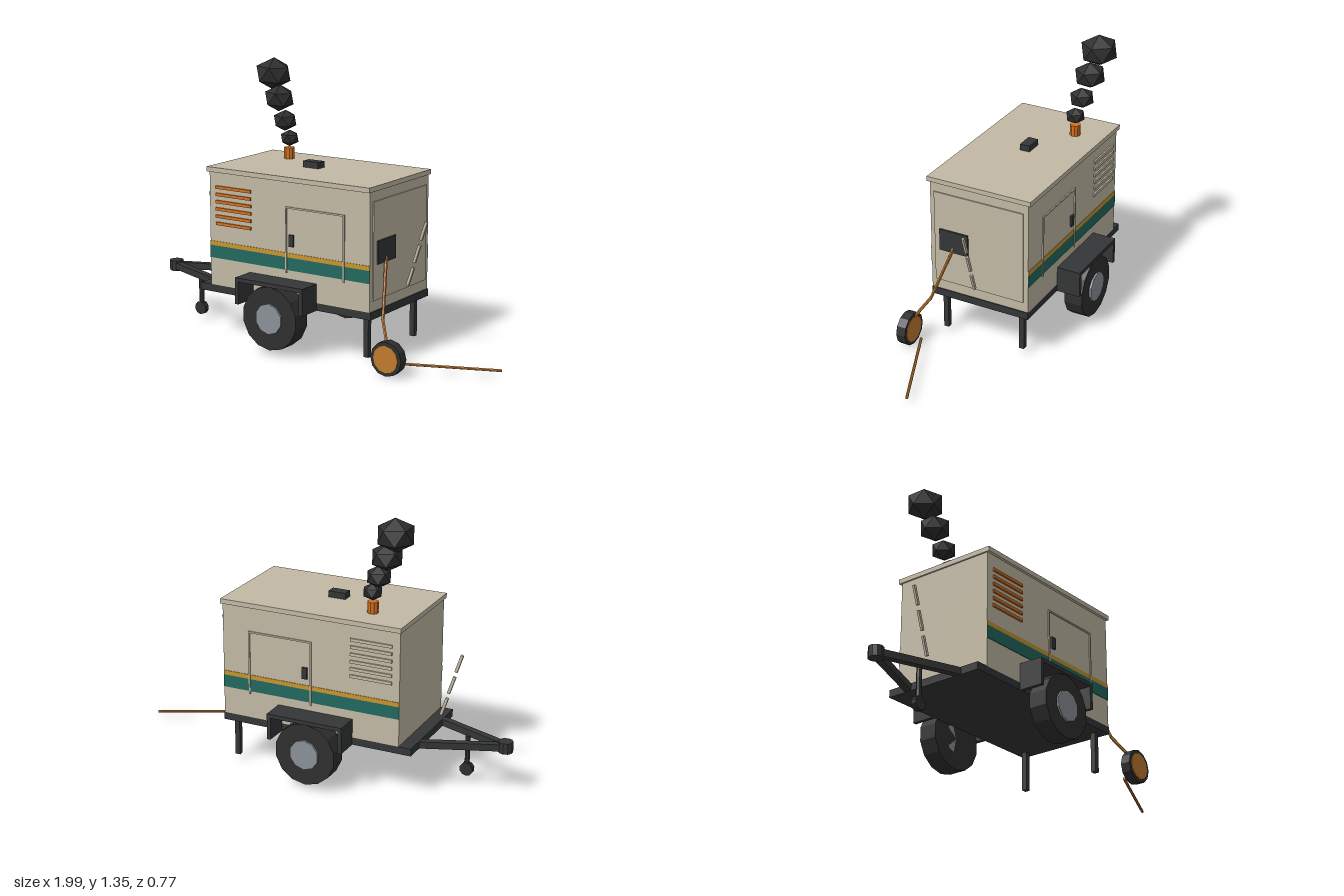
import * as THREE from 'three';

const material = (name, color) => {
  const m = new THREE.MeshStandardMaterial({ color });
  m.name = name;
  return m;
};

export function createModel() {
  const group = new THREE.Group();
  const paint = material('cream paint', 0xc2b9a5);
  const teal = material('teal stripe', 0x22695f);
  const gold = material('gold stripe', 0xc8952f);
  const orange = material('orange', 0xd2701f);
  const copper = material('copper orange', 0xc07a2c);
  const dark = material('dark metal', 0x343536);
  const rubber = material('rubber', 0x2f2f30);
  const hubGrey = material('hub grey', 0x8b9098);
  const smoke = material('smoke', 0x2e2e30);

  const add = (name, geo, mat, x = 0, y = 0, z = 0) => {
    const mesh = new THREE.Mesh(geo, mat);
    mesh.name = name;
    mesh.position.set(x, y, z);
    group.add(mesh);
    return mesh;
  };
  // Box given by its minimum and maximum corners
  const box = (name, mat, x0, x1, y0, y1, z0, z1) =>
    add(name, new THREE.BoxGeometry(x1 - x0, y1 - y0, z1 - z0), mat,
      (x0 + x1) / 2, (y0 + y1) / 2, (z0 + z1) / 2);
  // Faceted cylinder
  const drum = (r, h, sides) => {
    const g = new THREE.CylinderGeometry(r, r, h, sides).toNonIndexed();
    g.computeVertexNormals();
    return g;
  };
  // Faceted cylinder lying along z
  const disc = (name, mat, r, width, sides, x, y, z) =>
    add(name, drum(r, width, sides).rotateX(Math.PI / 2), mat, x, y, z);
  // Round rod between two points
  const rod = (name, mat, r, a, b, sides = 6) => {
    const from = new THREE.Vector3(...a), to = new THREE.Vector3(...b);
    const mesh = add(name, drum(r, from.distanceTo(to), sides), mat);
    mesh.position.copy(from).add(to).multiplyScalar(0.5);
    mesh.quaternion.setFromUnitVectors(new THREE.Vector3(0, 1, 0), to.sub(from).normalize());
    return mesh;
  };

  // Cabinet, roof and chassis
  box('chassis', dark, -0.59, 0.41, 0.228, 0.265, -0.263, 0.263);
  box('cabinet', paint, -0.527, 0.405, 0.265, 0.837, -0.263, 0.263);
  box('roof', paint, -0.535, 0.411, 0.837, 0.861, -0.277, 0.277);
  box('roofCap', dark, -0.135, -0.045, 0.861, 0.892, -0.026, 0.026);

  // End panel and control box
  box('endPanel', paint, 0.405, 0.411, 0.316, 0.79, -0.238, 0.24);
  box('controlPanel', dark, 0.411, 0.419, 0.488, 0.6, 0.055, 0.21);

  // Painted stripes, doors, vents, fenders and wheels on both sides
  for (const s of [1, -1]) {
    const side = (name, mat, x0, x1, y0, y1, inner, outer) =>
      box(name, mat, x0, x1, y0, y1, Math.min(s * inner, s * outer), Math.max(s * inner, s * outer));
    side('tealStripe', teal, -0.527, 0.405, 0.404, 0.467, 0.263, 0.266);
    side('goldStripe', gold, -0.527, 0.405, 0.467, 0.489, 0.263, 0.266);

    for (const x of [-0.068, 0.262])
      side('doorEdge', paint, x - 0.004, x + 0.004, 0.39, 0.715, 0.263, 0.269);
    side('doorTop', paint, -0.068, 0.262, 0.707, 0.715, 0.263, 0.269);
    side('doorHandle', dark, -0.05, -0.024, 0.522, 0.58, 0.263, 0.272);

    for (let i = 0; i < 6; i++) {
      const y = 0.762 - i * 0.0364;
      side('ventSlat', s > 0 ? orange : paint, -0.488, -0.275, y - 0.0075, y + 0.0075, 0.263, 0.271);
    }

    side('fenderTop', dark, -0.287, 0.107, 0.34, 0.36, 0.263, 0.385);
    side('fenderEnd', dark, -0.287, -0.268, 0.228, 0.34, 0.263, 0.385);
    side('fenderEnd', dark, 0.088, 0.107, 0.228, 0.34, 0.263, 0.385);

    disc('tyre', rubber, 0.157, 0.094, 14, -0.09, 0.183, s * 0.33);
    disc('wheelHub', hubGrey, 0.076, 0.104, 10, -0.09, 0.183, s * 0.335);

    box('rearLeg', dark, 0.347, 0.373, 0.03, 0.228, s * 0.21 - 0.013, s * 0.21 + 0.013);

    // Drawbar beam angled in to the coupler
    const run = 0.39, spread = 0.15;
    const beam = add('drawbar', new THREE.BoxGeometry(Math.hypot(run, spread), 0.034, 0.035),
      dark, -0.765, 0.246, s * 0.08);
    beam.rotation.y = -Math.atan2(s * spread, run);
  }

  // Coupler and jockey wheel
  add('coupler', drum(0.036, 0.054, 10), dark, -0.964, 0.247, 0);
  rod('jockeyPost', dark, 0.013, [-0.75, 0.06, 0.062], [-0.75, 0.235, 0.062], 8);
  disc('jockeyWheel', rubber, 0.034, 0.028, 10, -0.75, 0.062, 0.062);

  // Dashed tilted bars beyond each end
  for (const s of [1, -1]) {
    for (let i = -1; i <= 1; i++) {
      const bar = add('tiltedBar', new THREE.BoxGeometry(0.014, 0.094, 0.012), paint,
        (s > 0 ? 0.502 : -0.682) + s * i * 0.035, 0.508 + i * 0.115, 0);
      bar.rotation.z = -s * 0.32;
    }
  }

  // Exhaust pipe and rising smoke puffs
  add('exhaustPipe', drum(0.027, 0.056, 10), orange, -0.328, 0.889, -0.131);
  const puffs = [
    [-0.326, 0.964, -0.132, 0.05],
    [-0.364, 1.048, -0.147, 0.064],
    [-0.412, 1.155, -0.165, 0.081],
    [-0.463, 1.273, -0.187, 0.097],
  ];
  for (const [x, y, z, r] of puffs) {
    const g = new THREE.IcosahedronGeometry(r, 0).rotateZ(-0.6).scale(1, 0.84, 1);
    g.computeVertexNormals();
    add('smokePuff', g, smoke, x, y, z);
  }

  // Cable from the control panel to the reel, with its loose end
  const cable = [[0.415, 0.513, 0.135], [0.463, 0.235, 0.238], [0.525, 0.14, 0.3]];
  for (let i = 0; i < 2; i++) rod('cable', copper, 0.008, cable[i], cable[i + 1]);
  rod('looseCable', copper, 0.007, [0.543, 0.041, 0.252], [0.993, 0.034, 0.053]);
  disc('reelRim', rubber, 0.083, 0.048, 12, 0.543, 0.084, 0.317);
  disc('reelDisc', copper, 0.066, 0.054, 12, 0.543, 0.084, 0.317);

  return group;
}
